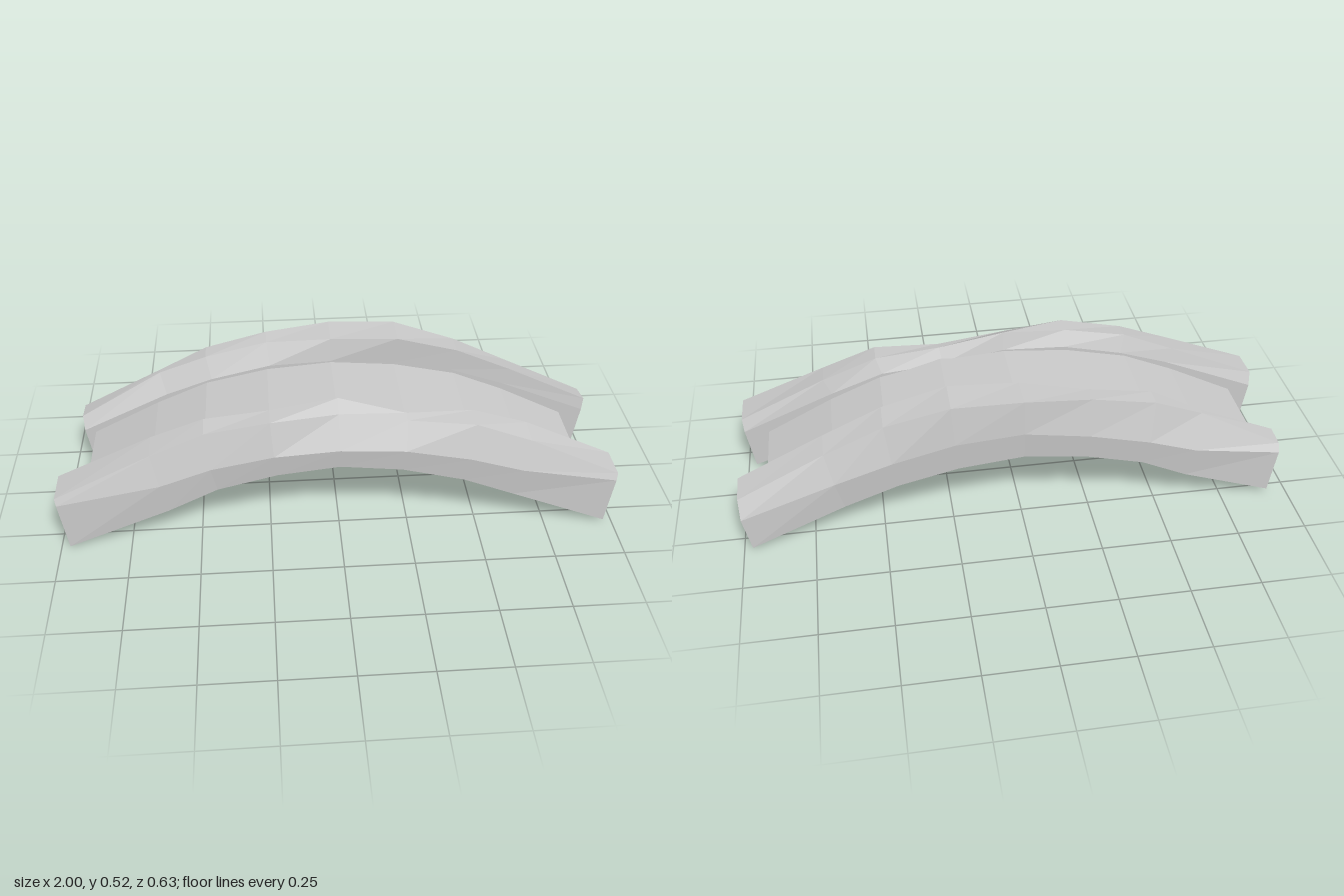
import * as THREE from 'three';

const material = new THREE.MeshStandardMaterial({ color: 0xcccccc, flatShading: true });

// Skin a run of cross-sections (each a ring of [x, y, z]) along +x, closing both ends.
function loft(name, rings) {
  const n = rings[0].length, pos = [];
  const tri = (a, b, c) => pos.push(...a, ...b, ...c);
  for (let i = 0; i < rings.length - 1; i++) {
    for (let j = 0; j < n; j++) {
      const k = (j + 1) % n, p = rings[i], q = rings[i + 1];
      tri(p[j], q[j], q[k]);
      tri(p[j], q[k], p[k]);
    }
  }
  const first = rings[0], last = rings[rings.length - 1];
  for (let j = 1; j < n - 1; j++) {
    tri(first[0], first[j], first[j + 1]);
    tri(last[0], last[j + 1], last[j]);
  }
  const geometry = new THREE.BufferGeometry();
  geometry.setAttribute('position', new THREE.Float32BufferAttribute(pos, 3));
  geometry.computeVertexNormals();
  const mesh = new THREE.Mesh(geometry, material);
  mesh.name = name;
  return mesh;
}

// Six-sided parapet section; side is +1 for the front beam, -1 for the back.
// Row: x, bottom y, middle y, shoulder y, crest y, outer z, shoulder z, crest z, knee y
function parapet(name, rows, side) {
  const rings = rows.map(([x, yb, ym, ys, yt, zo, zs, zt, yk], i) => {
    const end = i === 0 || i === rows.length - 1;
    const xb = x * (end ? 0.97 : 0.92), xm = x * (end ? 0.995 : 0.96);
    const ring = [
      [xb, end ? yb : yb - 0.02, 0.165 * side],
      [xb, yb, (end ? zo : zo - 0.01) * side],
      [xm, ym, zo * side],
      [x, ys, zs * side],
      [x, yt, zt * side],
      [xm, yk, 0.165 * side],
    ];
    return side > 0 ? ring : ring.reverse();
  });
  return loft(name, rings);
}

export function createModel() {
  const group = new THREE.Group();
  group.name = 'archedBridge';

  group.add(parapet('frontParapet', [
    [-1.00, 0.005, 0.19, 0.215, 0.22, 0.32, 0.31, 0.185, 0.17],
    [-0.66, 0.135, 0.25, 0.36, 0.37, 0.313, 0.28, 0.18, 0.32],
    [-0.47, 0.215, 0.31, 0.435, 0.445, 0.308, 0.27, 0.19, 0.38],
    [-0.24, 0.27, 0.355, 0.478, 0.48, 0.312, 0.28, 0.205, 0.43],
    [0.00, 0.295, 0.37, 0.475, 0.505, 0.312, 0.24, 0.183, 0.44],
    [0.24, 0.27, 0.355, 0.44, 0.447, 0.312, 0.245, 0.208, 0.40],
    [0.48, 0.215, 0.31, 0.43, 0.435, 0.315, 0.275, 0.19, 0.38],
    [0.68, 0.14, 0.25, 0.355, 0.365, 0.315, 0.28, 0.18, 0.31],
    [1.00, 0.01, 0.19, 0.215, 0.215, 0.32, 0.31, 0.185, 0.17],
  ], 1));

  group.add(parapet('backParapet', [
    [-0.955, 0.02, 0.19, 0.215, 0.22, 0.295, 0.27, 0.19, 0.17],
    [-0.65, 0.135, 0.25, 0.375, 0.375, 0.308, 0.255, 0.235, 0.32],
    [-0.47, 0.215, 0.31, 0.455, 0.455, 0.312, 0.275, 0.205, 0.38],
    [-0.24, 0.27, 0.365, 0.505, 0.50, 0.314, 0.29, 0.22, 0.43],
    [0.00, 0.295, 0.40, 0.53, 0.527, 0.312, 0.305, 0.18, 0.44],
    [0.25, 0.27, 0.38, 0.525, 0.527, 0.311, 0.295, 0.163, 0.42],
    [0.48, 0.215, 0.32, 0.455, 0.465, 0.305, 0.27, 0.165, 0.38],
    [0.69, 0.14, 0.25, 0.355, 0.37, 0.30, 0.262, 0.168, 0.31],
    [1.00, 0.01, 0.14, 0.20, 0.218, 0.31, 0.266, 0.17, 0.17],
  ], -1));

  // Curved roadway slab between the parapets
  const top = [[-0.91, 0.16], [-0.66, 0.285], [-0.47, 0.365], [-0.24, 0.415], [0, 0.435],
    [0.24, 0.415], [0.47, 0.365], [0.66, 0.285], [0.905, 0.16]];
  group.add(loft('deck', top.map(([x, y]) => [
    [x * 0.98, y - 0.055, -0.18], [x * 0.98, y - 0.055, 0.18], [x, y, 0.18], [x, y, -0.18],
  ])));

  return group;
}
